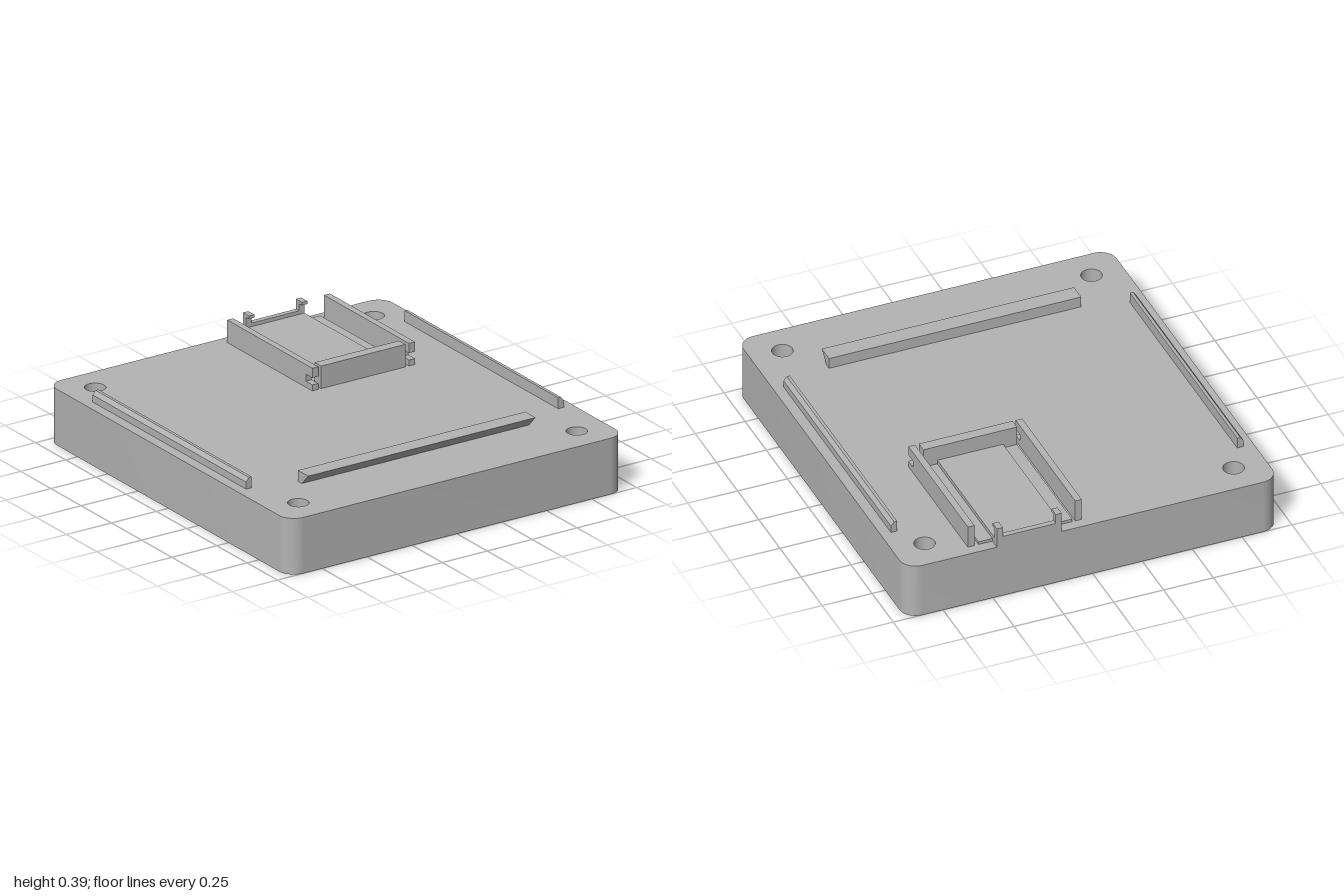
import * as THREE from 'three';
import { toCreasedNormals } from 'three/addons/utils/BufferGeometryUtils.js';

const grey = new THREE.MeshStandardMaterial({ color: 0xb3b3b3 });
grey.name = 'grey plastic';

const TOP = 0.28;      // deck height of the base
const RECESS = 0.02;   // depth of the pads sunk into the underside

export function createModel() {
  const model = new THREE.Group();
  model.name = 'mountingPlate';

  const add = (name, geometry, parent = model) => {
    const mesh = new THREE.Mesh(geometry, grey);
    mesh.name = name;
    parent.add(mesh);
    return mesh;
  };
  // Box given by its limits on each axis
  const block = (name, [x0, x1], [y0, y1], [z0, z1], parent) =>
    add(name, new THREE.BoxGeometry(x1 - x0, y1 - y0, z1 - z0)
      .translate((x0 + x1) / 2, (y0 + y1) / 2, (z0 + z1) / 2), parent);
  const outline = (points) => new THREE.Shape(points.map(([a, b]) => new THREE.Vector2(a, b)));
  const extrude = (shape, depth) =>
    new THREE.ExtrudeGeometry(shape, { depth, bevelEnabled: false, curveSegments: 16 });

  // Rounded base outline with four screw holes
  const baseShape = () => {
    const w = 0.935, d = 1, r = 0.08;
    const s = new THREE.Shape();
    s.absarc(w - r, d - r, r, 0, Math.PI / 2);
    s.absarc(-w + r, d - r, r, Math.PI / 2, Math.PI);
    s.absarc(-w + r, -d + r, r, Math.PI, Math.PI * 1.5);
    s.absarc(w - r, -d + r, r, Math.PI * 1.5, Math.PI * 2);
    s.closePath();
    for (const x of [-0.775, 0.775]) for (const z of [-0.84, 0.84])
      s.holes.push(new THREE.Path().absarc(x, z, 0.05, 0, Math.PI * 2, true));
    return s;
  };
  const layer = (name, shape, y0, y1) =>
    add(name, toCreasedNormals(extrude(shape, y1 - y0).rotateX(-Math.PI / 2).translate(0, y0, 0), 0.6));

  // Base: solid upper layer over a thin layer with two long recesses
  const underside = baseShape();
  for (const side of [-1, 1]) {
    const a = side * 0.24, b = side * 0.665;
    underside.holes.push(outline([[a, -0.835], [a, 0.835], [b, 0.835], [b, -0.835]]));
  }
  layer('baseUnderside', underside, 0, RECESS);
  layer('base', baseShape(), RECESS, TOP);

  // Side rails, chamfered along the outer top edge
  for (const side of [-1, 1]) {
    const profile = [[0.853, TOP], [0.884, TOP], [0.884, 0.315], [0.868, 0.335], [0.853, 0.335]];
    add(side > 0 ? 'leftRail' : 'rightRail',
      extrude(outline(profile.map(([x, y]) => [side * x, y])), 1.27).translate(0, 0, -0.7));
  }

  // Front hook strip, undercut towards the front (profile in z and y)
  add('frontHookStrip',
    extrude(outline([[0.625, TOP], [0.657, TOP], [0.71, 0.335], [0.625, 0.335]]), 1.265)
      .rotateY(-Math.PI / 2).translate(0.6325, 0, 0));

  // Holder at the back
  const holder = new THREE.Group();
  holder.name = 'holder';
  model.add(holder);
  block('holderFloor', [0.08, 0.55], [TOP, 0.295], [-0.947, -0.296], holder);
  block('holderPlate', [0.15, 0.48], [TOP, 0.315], [-0.973, -0.296], holder);
  block('holderFrontWall', [0.08, 0.55], [TOP, 0.393], [-0.296, -0.243], holder);
  block('holderBackWall', [0.155, 0.48], [TOP, 0.333], [-1, -0.973], holder);

  // Holder side rails with a slot in the front end (profile in z and y)
  const railProfile = [[-0.947, TOP], [-0.243, TOP], [-0.243, 0.31], [-0.297, 0.31],
    [-0.297, 0.345], [-0.243, 0.345], [-0.243, 0.393], [-0.947, 0.393]];
  for (const x of [0.065, 0.603])
    add('holderRail', extrude(outline(railProfile), 0.033).rotateY(-Math.PI / 2).translate(x, 0, 0), holder);

  // Clips on the back wall: post with a lip reaching forward
  for (const x of [0.155, 0.45]) {
    block('clipPost', [x, x + 0.03], [0.333, 0.383], [-1, -0.973], holder);
    block('clipLip', [x, x + 0.03], [0.368, 0.383], [-0.973, -0.95], holder);
  }

  return model;
}
